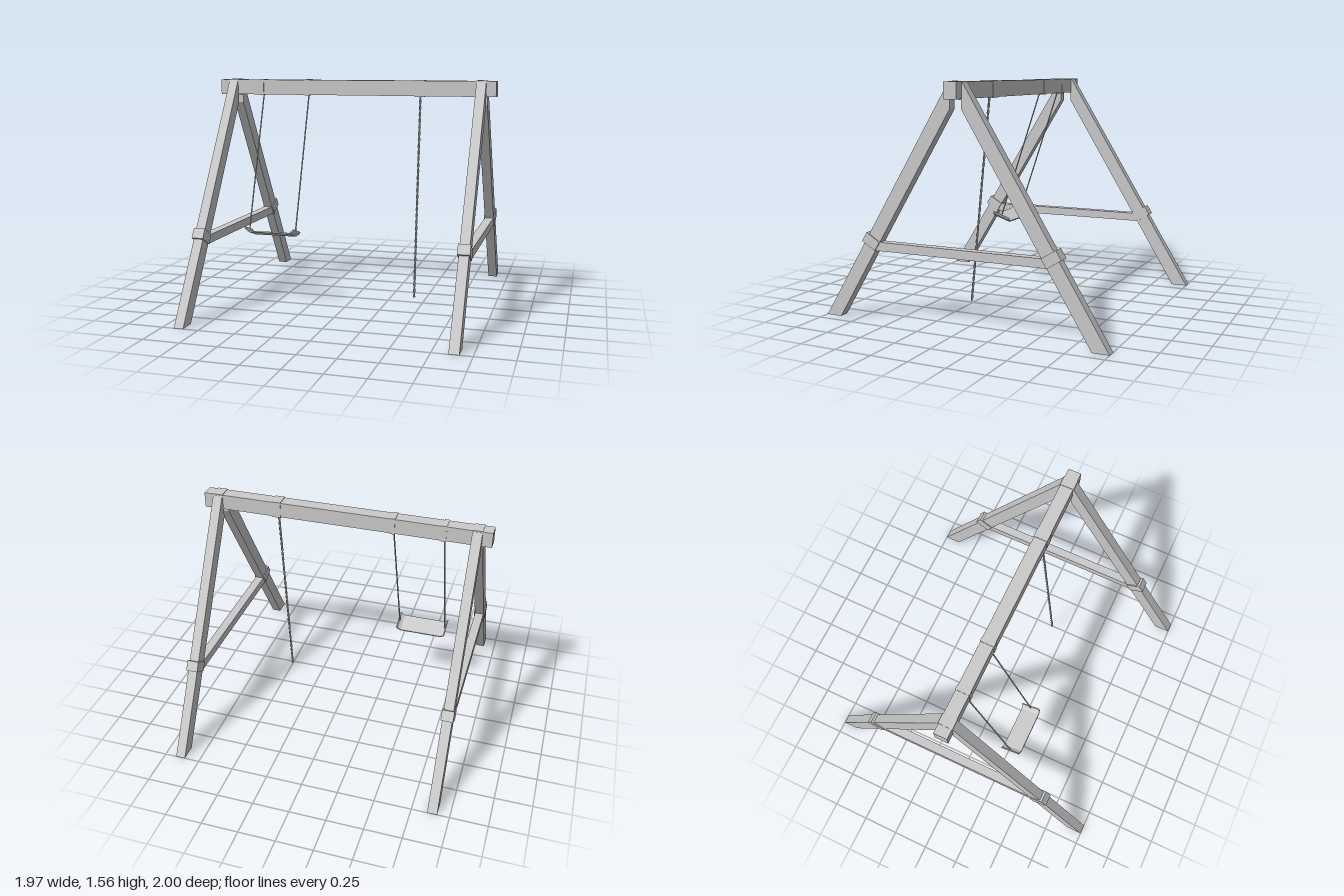
import * as THREE from 'three';

const material = new THREE.MeshStandardMaterial({ color: 0xcccccc, flatShading: true, side: THREE.DoubleSide });

function add(parent, name, geometry, x = 0, y = 0, z = 0) {
  const mesh = new THREE.Mesh(geometry, material);
  mesh.name = name;
  mesh.position.set(x, y, z);
  parent.add(mesh);
  return mesh;
}

// Extrudes an outline, centred on its depth
function slab(points, depth) {
  const shape = new THREE.Shape(points.map(([x, y]) => new THREE.Vector2(x, y)));
  return new THREE.ExtrudeGeometry(shape, { depth, bevelEnabled: false }).translate(0, 0, -depth / 2);
}

// Twisted strand winding around a straight line
class Strand extends THREE.Curve {
  constructor(length, radius, turns, phase) {
    super();
    Object.assign(this, { length, radius, turns, phase });
  }
  getPoint(t, target = new THREE.Vector3()) {
    const a = this.phase + t * this.turns * Math.PI * 2;
    return target.set(this.radius * Math.cos(a), -t * this.length, this.radius * Math.sin(a));
  }
}

export function createModel() {
  const group = new THREE.Group();
  const beamY = 1.508, legX = 0.887;

  add(group, 'topBeam', new THREE.BoxGeometry(1.972, 0.104, 0.09), 0, beamY, 0);

  // Thin straps around the beam at each joint
  const strap = (name, x, width) =>
    add(group, name, new THREE.BoxGeometry(width, 0.112, 0.096), x, beamY, 0);

  // A-frames: slanted legs, collars and a cross brace
  const legOutline = [[0.89, 0], [1, 0], [0.05, 1.555], [0.04, 1.555], [0.04, 1.395]];
  const lean = Math.atan2(0.95, 1.555);
  for (const side of [-1, 1]) {
    const frame = new THREE.Group();
    frame.name = side > 0 ? 'leftFrame' : 'rightFrame';
    frame.position.x = side * legX;
    group.add(frame);
    for (const dir of [1, -1]) {
      const end = dir > 0 ? 'front' : 'back';
      add(frame, end + 'Leg', slab(legOutline, 0.065).rotateY(-dir * Math.PI / 2));
      const collar = add(frame, end + 'Collar', new THREE.BoxGeometry(0.08, 0.07, 0.112), 0, 0.53, dir * 0.633);
      collar.rotation.x = -dir * lean;
    }
    add(frame, 'crossBrace', new THREE.BoxGeometry(0.062, 0.058, 1.24), 0, 0.5, 0);
    strap('legStrap', side * legX, 0.067);
  }

  // Swing, hanging forward from the beam
  const swing = new THREE.Group();
  swing.name = 'swing';
  swing.position.set(-0.505, 1.455, 0);
  swing.rotation.x = -Math.atan2(0.31, 0.925);
  group.add(swing);
  const ropeLength = 0.977;
  for (const side of [-1, 1]) {
    add(swing, 'swingRope', new THREE.CylinderGeometry(0.005, 0.005, ropeLength, 8), side * 0.17, -ropeLength / 2, 0);
    strap('ropeStrap', -0.505 + side * 0.17, 0.032);
  }

  // Seat with upturned ends
  const lower = [[-0.182, 0.028], [-0.176, 0.012], [-0.15, -0.006], [0.15, -0.006], [0.176, 0.012], [0.182, 0.028]];
  const upper = [[0.175, 0.03], [0.168, 0.016], [0.147, 0.003], [-0.147, 0.003], [-0.168, 0.016], [-0.175, 0.03]];
  add(swing, 'seat', slab([...lower, ...upper], 0.14), 0, -ropeLength - 0.022, 0);

  // Climbing rope: two twisted strands
  const climbing = new THREE.Group();
  climbing.name = 'climbingRope';
  climbing.position.set(0.468, 1.458, 0);
  climbing.rotation.x = -Math.atan2(0.142, 1.38);
  group.add(climbing);
  for (const phase of [0, Math.PI]) {
    add(climbing, 'strand', new THREE.TubeGeometry(new Strand(1.387, 0.0042, 16, phase), 240, 0.0045, 6));
  }
  strap('climbingStrap', 0.47, 0.067);

  return group;
}
